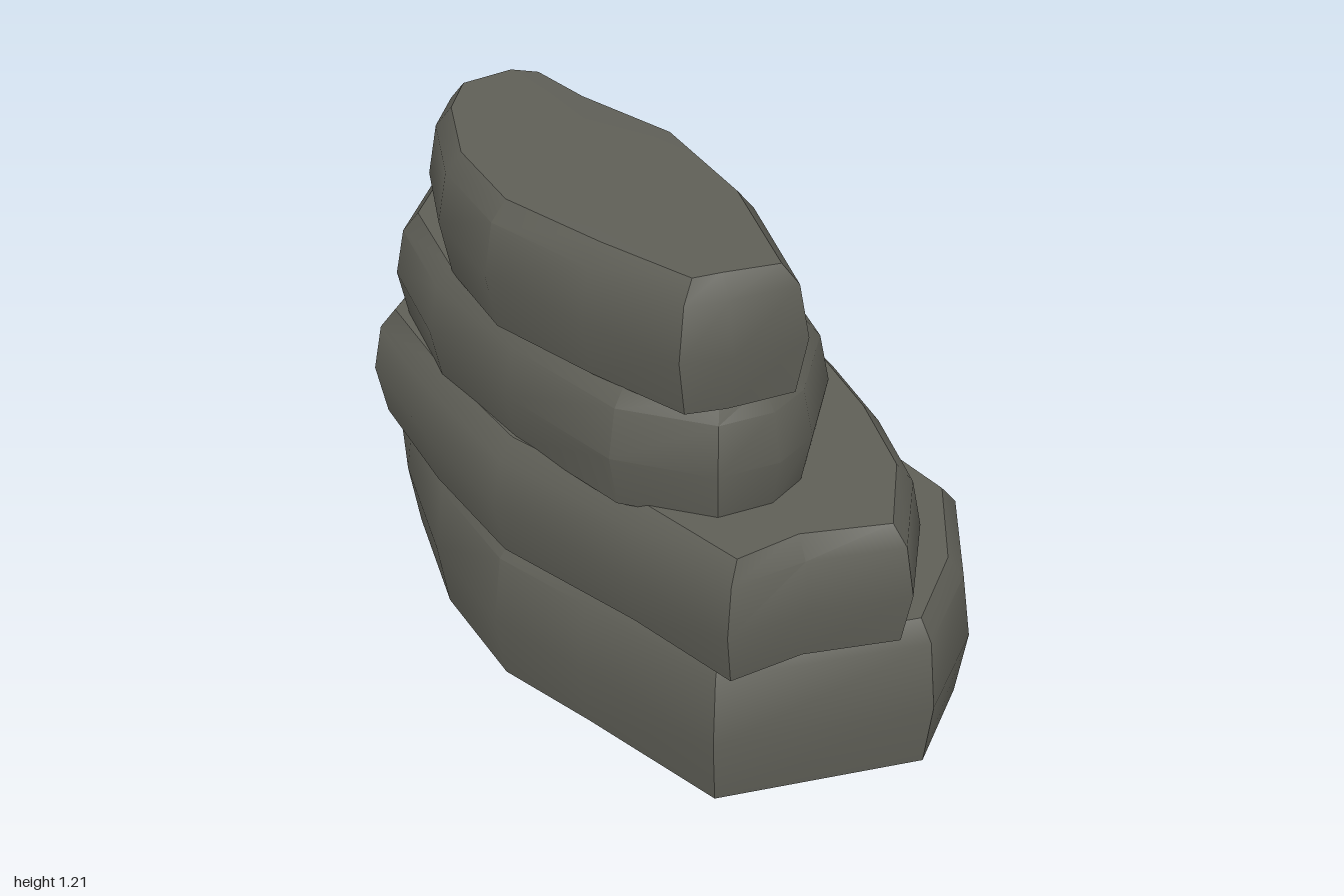
import * as THREE from 'three';
import { toCreasedNormals } from 'three/addons/utils/BufferGeometryUtils.js';

// Slab outlines as [x, z] points, running clockwise seen from above
const SLABS = [
  { name: 'baseSlab', y0: 0, y1: 0.37, outline: [
    [-0.02, -1], [0.375, -0.65], [0.37, -0.2], [0.388, 0.14], [0.35, 0.62], [0.14, 0.86], [-0.11, 1],
    [-0.57, 0.8], [-0.63, 0.4], [-0.675, 0.13], [-0.62, -0.2], [-0.48, -0.55], [-0.27, -0.94]] },
  { name: 'secondSlab', y0: 0.36, y1: 0.645, outline: [
    [-0.09, -0.86], [0.15, -0.7], [0.27, -0.5], [0.34, -0.24], [0.3, 0.03], [0.23, 0.3], [0.14, 0.56],
    [0.02, 0.8], [-0.18, 0.985], [-0.39, 0.89], [-0.58, 0.855], [-0.61, 0.55], [-0.675, 0.15],
    [-0.63, -0.2], [-0.55, -0.555], [-0.35, -0.7]] },
  { name: 'thirdSlab', y0: 0.635, y1: 0.915, outline: [
    [-0.09, -0.855], [0.05, -0.63], [0.15, -0.44], [0.08, -0.1], [0.08, 0.28], [-0.03, 0.54],
    [-0.22, 0.7], [-0.34, 0.735], [-0.48, 0.7], [-0.61, 0.5], [-0.63, 0.15], [-0.6, -0.2],
    [-0.5, -0.5], [-0.3, -0.68]] },
  { name: 'topSlab', y0: 0.905, y1: 1.2, outline: [
    [-0.13, -0.545], [-0.05, -0.45], [-0.055, -0.25], [-0.025, 0.05], [-0.11, 0.4], [-0.275, 0.74],
    [-0.45, 0.71], [-0.55, 0.66], [-0.6, 0.4], [-0.635, 0.1], [-0.57, -0.18], [-0.44, -0.42],
    [-0.31, -0.545]] },
];

// Move every outline point inward by d
function inset(outline, d) {
  const n = outline.length;
  return outline.map(([x, z], i) => {
    const a = outline[(i + n - 1) % n], b = outline[(i + 1) % n];
    const tx = b[0] - a[0], tz = b[1] - a[1], len = Math.hypot(tx, tz);
    return [x - (tz / len) * d, z + (tx / len) * d];
  });
}

// Bulging slab with bevelled top edge, flat top and open underside
function slabGeometry({ y0, y1, outline }) {
  const n = outline.length, h = y1 - y0, pos = [], idx = [];
  const rings = [[y0, 0.025], [y0 + h * 0.44, 0], [y1 - 0.045, 0.022], [y1, 0.06]];
  for (const [y, d] of rings) for (const [x, z] of inset(outline, d)) pos.push(x, y, z);
  for (let r = 0; r < rings.length - 1; r++) {
    for (let i = 0; i < n; i++) {
      const a = r * n + i, b = r * n + (i + 1) % n;
      idx.push(b, a, a + n, b, a + n, b + n);
    }
  }
  const cx = outline.reduce((s, p) => s + p[0], 0) / n;
  const cz = outline.reduce((s, p) => s + p[1], 0) / n;
  pos.push(cx, y1 + 0.008, cz);
  const top = (rings.length - 1) * n;
  for (let i = 0; i < n; i++) idx.push(rings.length * n, top + (i + 1) % n, top + i);
  const g = new THREE.BufferGeometry();
  g.setAttribute('position', new THREE.Float32BufferAttribute(pos, 3));
  g.setIndex(idx);
  return toCreasedNormals(g, 0.6);
}

// Small rough stone, longest along z
function pebbleGeometry() {
  const g = new THREE.SphereGeometry(1, 7, 4);
  g.rotateX(Math.PI / 2);
  g.scale(0.059, 0.057, 0.077);
  return toCreasedNormals(g, 0.75);
}

export function createModel() {
  const group = new THREE.Group();
  const stone = new THREE.MeshStandardMaterial({ color: 0x5f5f57, side: THREE.DoubleSide });
  stone.name = 'darkStone';

  for (const slab of SLABS) {
    const mesh = new THREE.Mesh(slabGeometry(slab), stone);
    mesh.name = slab.name;
    group.add(mesh);
  }

  // One pebble beside the stack, one under the hollow base
  const pebbles = [['sidePebble', 0.615, 0.085, -0.553], ['hiddenPebble', -0.08, 0.085, -0.03]];
  for (const [name, x, y, z] of pebbles) {
    const mesh = new THREE.Mesh(pebbleGeometry(), stone);
    mesh.name = name;
    mesh.position.set(x, y, z);
    group.add(mesh);
  }
  return group;
}
